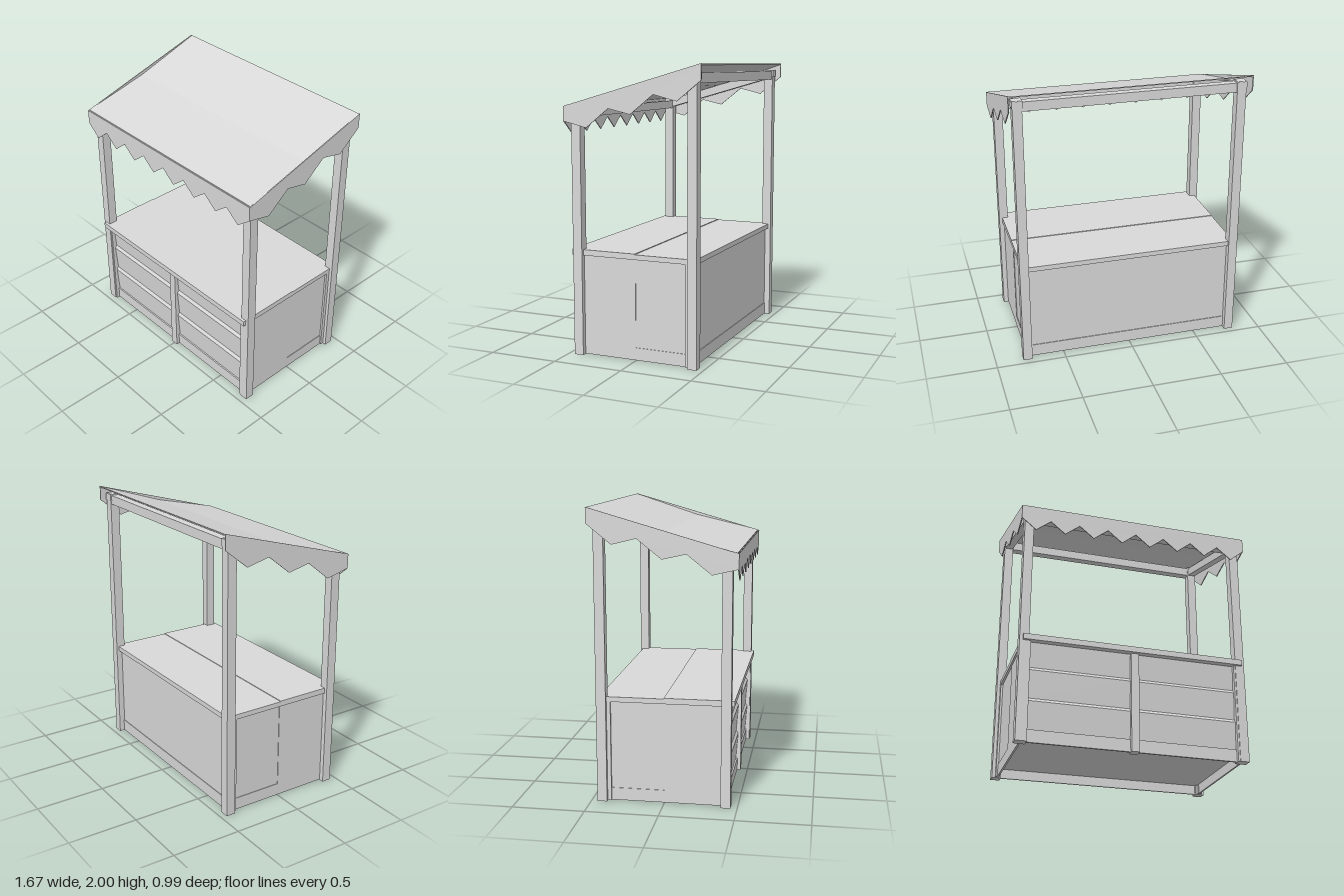
import * as THREE from 'three';

export function createModel() {
  const stall = new THREE.Group();
  stall.name = 'marketStall';
  const grey = new THREE.MeshStandardMaterial({ color: 0xd9d9d9 });
  grey.name = 'lightGrey';

  const add = (name, geometry) => {
    const mesh = new THREE.Mesh(geometry, grey);
    mesh.name = name;
    stall.add(mesh);
    return mesh;
  };

  // Box given by its limits on each axis
  const box = (name, x0, x1, y0, y1, z0, z1) => {
    const mesh = add(name, new THREE.BoxGeometry(x1 - x0, y1 - y0, z1 - z0));
    mesh.position.set((x0 + x1) / 2, (y0 + y1) / 2, (z0 + z1) / 2);
    return mesh;
  };

  const extrude = (points, depth) => {
    const shape = new THREE.Shape(points.map(([a, b]) => new THREE.Vector2(a, b)));
    return new THREE.ExtrudeGeometry(shape, { depth, bevelEnabled: false })
      .translate(0, 0, -depth / 2);
  };

  // Profile of [z, y] points extruded across x
  const across = (name, points, x0, x1) => {
    const mesh = add(name, extrude(points, x1 - x0).rotateY(-Math.PI / 2));
    mesh.position.x = (x0 + x1) / 2;
    return mesh;
  };

  // Parts mirrored on both sides
  const slope = Math.atan2(0.24, 0.84);
  const sideProfile = [
    [0.497, 1.717], [0.497, 1.617], [0.325, 1.576], [0.16, 1.707], [0, 1.671],
    [-0.165, 1.802], [-0.33, 1.761], [-0.497, 1.895], [-0.497, 2],
  ];
  for (const s of [-1, 1]) {
    const span = (a, b) => (s > 0 ? [a, b] : [-b, -a]);
    box('frontPost', ...span(0.738, 0.803), 0, 1.725, 0.388, 0.455);
    box('backPost', ...span(0.738, 0.803), 0, 1.95, -0.458, -0.391);
    box('postCap', ...span(0.735, 0.806), 1.9, 1.948, -0.462, -0.388);
    box('frontStile', ...span(0.725, 0.742), 0, 0.7, 0.385, 0.45);

    // Side wall: full front half, rear half set in above a rail
    box('frontSidePanel', ...span(0.755, 0.768), 0.003, 0.7, 0, 0.42);
    box('rearSidePanel', ...span(0.755, 0.764), 0.09, 0.7, -0.367, 0);
    box('rearSideRail', ...span(0.755, 0.768), 0.003, 0.09, -0.367, 0);

    // Sloping roof beam
    const beam = box('sideBeam', ...span(0.742, 0.798), 1.765, 1.825, -0.42, 0.42);
    beam.rotation.x = slope;

    // Zigzag side valance
    across('sideValance', sideProfile, ...span(0.827, 0.834));

    // Boards leaning slightly outward, with a sloping ledge between them
    for (let i = 0; i < 3; i++) {
      const y = 0.09 + i * 0.217;
      const ledge = i < 2 ? y + 0.195 : 0.7;
      across('leaningBoard', [
        [0.4, y], [0.414, y], [0.429, ledge], [0.414, Math.min(y + 0.217, 0.701)], [0.4, 0.7],
      ], ...span(0.027, 0.727));
    }
  }

  // Base frame
  box('centreStile', -0.028, 0.028, 0, 0.7, 0.385, 0.45);
  box('frontRail', -0.74, 0.74, 0.003, 0.09, 0.41, 0.425);
  box('backPanel', -0.779, 0.779, 0.09, 0.7, -0.415, -0.365);
  box('backRail', -0.779, 0.779, 0.003, 0.09, -0.42, -0.408);
  for (const x of [-0.765, 0.765]) {
    box('backStile', x - 0.014, x + 0.014, 0.003, 0.735, -0.41, -0.365);
  }
  box('floor', -0.757, 0.757, 0.07, 0.09, -0.41, 0.412);

  // Counter in two slabs
  box('frontCounter', -0.78, 0.78, 0.7, 0.74, 0, 0.475);
  box('backCounter', -0.78, 0.78, 0.7, 0.735, -0.44, 0);

  // Roof beams
  box('frontBeam', -0.745, 0.745, 1.64, 1.7, 0.393, 0.45);
  box('backBeam', -0.745, 0.745, 1.875, 1.94, -0.452, -0.395);

  // Canopy with a slight sag along the middle
  across('canopy', [
    [0.488, 1.722], [0, 1.835], [-0.497, 1.998],
    [-0.497, 1.99], [0, 1.827], [0.488, 1.714],
  ], -0.83, 0.83);

  // Zigzag front valance
  const teeth = 8;
  const edge = [[0.834, 1.718], [-0.834, 1.718]];
  for (let i = 0; i <= teeth * 2; i++) {
    edge.push([-0.834 + (1.668 * i) / (teeth * 2), i % 2 ? 1.533 : 1.617]);
  }
  add('frontValance', extrude(edge, 0.007)).position.z = 0.4935;

  return stall;
}
